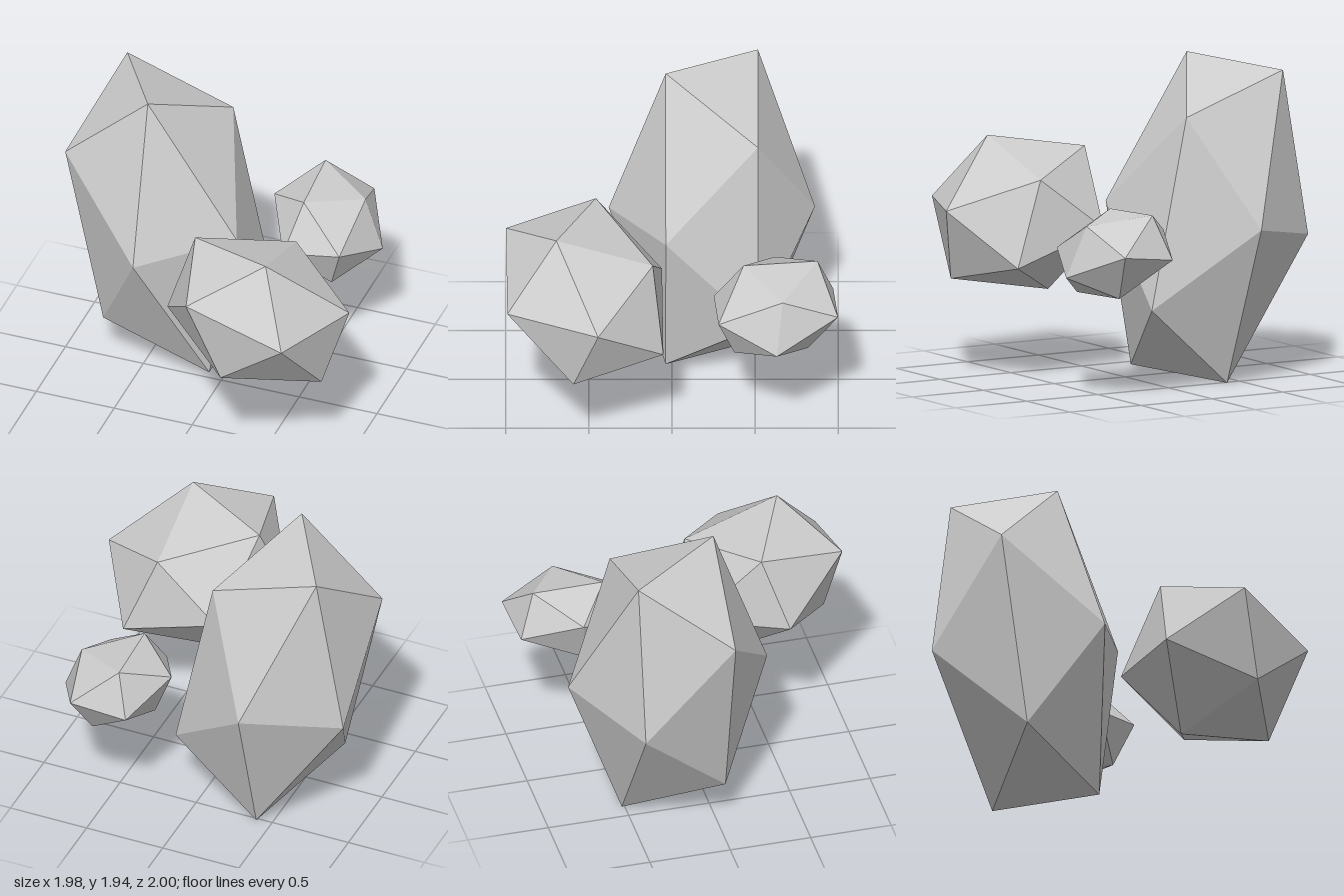
import * as THREE from 'three';
import { ConvexGeometry } from 'three/addons/geometries/ConvexGeometry.js';

const V = (x, y, z) => new THREE.Vector3(x, y, z);
const material = new THREE.MeshStandardMaterial({ color: 0xcccccc, flatShading: true });

// A stretched icosahedron: two opposite poles, and two opposite rings of five
// corners spread around the pole axis by the vectors u and v.
function rock(name, centre, pole, u, v) {
  const corners = [pole];
  for (let k = 0; k < 5; k++) {
    const angle = (k * Math.PI * 2) / 5;
    corners.push(
      pole.clone().multiplyScalar(1 / Math.sqrt(5))
        .addScaledVector(u, Math.cos(angle))
        .addScaledVector(v, Math.sin(angle))
    );
  }
  const opposite = corners.map((p) => p.clone().negate());
  const mesh = new THREE.Mesh(new ConvexGeometry([...corners, ...opposite]), material);
  mesh.name = name;
  mesh.position.copy(centre);
  return mesh;
}

export function createModel() {
  const group = new THREE.Group();
  group.name = 'rocks';
  group.add(
    // tall boulder on the right
    rock('tallRock', V(-0.43, 0.97, -0.24), V(0.005, 0, 0.62), V(-0.03, 0.97, 0), V(-0.579, 0.2, 0)),
    // medium rock at the front left
    rock('mediumRock', V(0.435, 0.97, 0.525), V(0.11, 0.455, 0.17), V(-0.337, 0.058, 0.397), V(0.395, -0.166, 0.28)),
    // small rock at the back left
    rock('smallRock', V(0.455, 0.87, -0.625), V(0.223, 0.189, -0.04), V(-0.186, 0.158, 0.212), V(-0.163, 0.13, -0.313))
  );
  return group;
}
